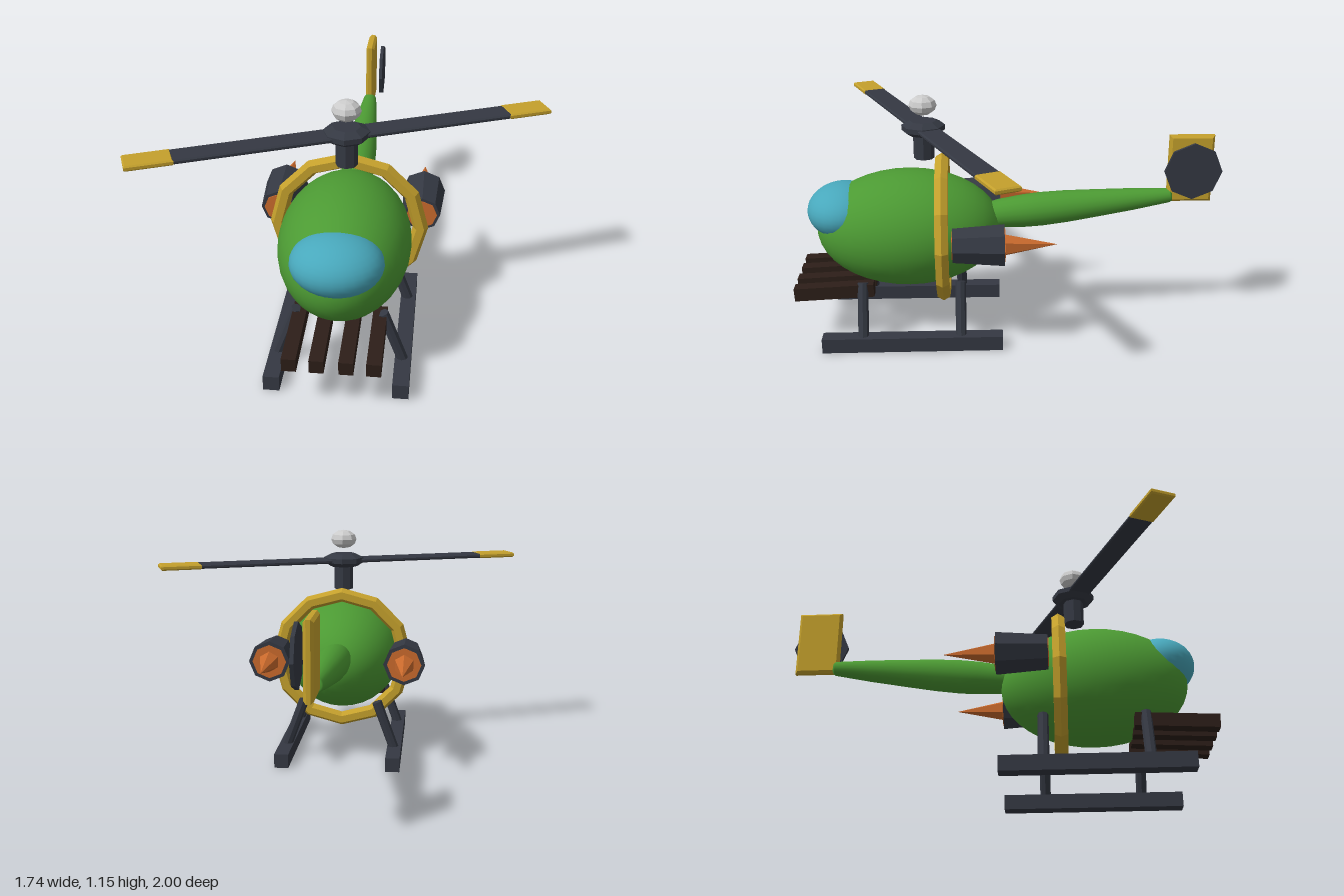
import * as THREE from 'three';

const paint = (color, flatShading = true) => new THREE.MeshStandardMaterial({ color, flatShading });
const green = paint(0x4c9a33, false);
const blue = paint(0x48a8bc, false);
const yellow = paint(0xc4a02c);
const dark = paint(0x343842);
const brown = paint(0x2c1e18);
const orange = paint(0xc8692c);
const white = paint(0xcccccc);

export function createModel() {
  const root = new THREE.Group();

  const add = (name, geometry, material, x, y, z, parent = root) => {
    const mesh = new THREE.Mesh(geometry, material);
    mesh.name = name;
    mesh.position.set(x, y, z);
    parent.add(mesh);
    return mesh;
  };

  // Slab with bevelled edges; w and h in the XY plane, t along Z
  const slab = (w, h, t, b) => {
    const s = new THREE.Shape();
    const x = w / 2 - b, y = h / 2 - b;
    s.moveTo(-x, -y).lineTo(x, -y).lineTo(x, y).lineTo(-x, y).closePath();
    return new THREE.ExtrudeGeometry(s, {
      depth: t - 2 * b, bevelEnabled: true, bevelSize: b, bevelThickness: b, bevelSegments: 1,
    }).translate(0, 0, b - t / 2);
  };

  // Egg-shaped hull and bubble window
  add('body', new THREE.SphereGeometry(1, 32, 20).rotateX(Math.PI / 2).scale(0.29, 0.277, 0.435),
    green, 0, 0.508, 0.465);
  add('window', new THREE.SphereGeometry(1, 28, 18).scale(0.195, 0.126, 0.17), blue, 0, 0.6, 0.77);

  // Faceted band around the hull
  add('bodyRing', new THREE.TorusGeometry(0.322, 0.035, 6, 12), yellow, 0, 0.507, 0.305);

  // Tapered tail boom, rising slightly to the rear
  const boomProfile = [[0, 0], [0.055, 0], [0.068, 0.06], [0.078, 0.18], [0.08, 0.26],
    [0.076, 0.38], [0.066, 0.52], [0.052, 0.7], [0.034, 0.875], [0.028, 0.885], [0, 0.885]]
    .map(([r, h]) => new THREE.Vector2(r, h));
  const boom = add('tailBoom', new THREE.LatheGeometry(boomProfile, 18), green, 0, 0.56, 0.1);
  boom.rotation.x = -Math.PI / 2 + 0.1;

  // Tail fin and side disc
  const fin = add('tailFin', slab(0.21, 0.325, 0.042, 0.012), yellow, 0, 0.783, -0.862);
  fin.rotation.y = Math.PI / 2;
  add('tailRotor', new THREE.CylinderGeometry(0.135, 0.135, 0.016, 8).rotateZ(Math.PI / 2),
    dark, 0.058, 0.785, -0.865);

  // Main rotor: mast, hub, blades with painted tips, ball on top
  const rotor = new THREE.Group();
  rotor.name = 'mainRotor';
  rotor.position.set(0, 0, 0.385);
  root.add(rotor);
  add('mast', new THREE.CylinderGeometry(0.048, 0.048, 0.13, 8), dark, 0, 0.915, 0, rotor);
  const hubProfile = [[0, 0.965], [0.07, 0.965], [0.1, 0.985], [0.1, 1.008], [0.06, 1.028], [0, 1.028]]
    .map(([r, y]) => new THREE.Vector2(r, y));
  add('hub', new THREE.LatheGeometry(hubProfile, 8), dark, 0, 0, 0, rotor);
  add('topBall', new THREE.SphereGeometry(1, 8, 6).scale(0.064, 0.046, 0.064), white, 0, 1.1, 0, rotor);

  const blades = new THREE.Group();
  blades.name = 'blades';
  blades.position.y = 0.994;
  blades.rotation.y = 0.4;
  rotor.add(blades);
  add('bladeBar', slab(1.48, 0.108, 0.02, 0.006).rotateX(Math.PI / 2), dark, 0, 0, 0, blades);
  for (const s of [1, -1]) {
    add('bladeTip', slab(0.195, 0.112, 0.024, 0.006).rotateX(Math.PI / 2), yellow, s * 0.825, 0, 0, blades);
  }

  for (const s of [1, -1]) {
    const side = s > 0 ? 'left' : 'right';

    // Engine pod, wider at the rear, with glowing core and flame spike
    const pod = new THREE.Group();
    pod.name = side + 'Engine';
    pod.position.set(s * 0.325, 0.543, 0.14);
    pod.rotation.x = -Math.PI / 2;
    root.add(pod);
    add('casing', new THREE.CylinderGeometry(0.1, 0.082, 0.23, 8), dark, 0, 0, 0, pod);
    add('core', new THREE.CylinderGeometry(0.082, 0.068, 0.238, 8), orange, 0, 0, 0, pod);
    add('flame', new THREE.ConeGeometry(0.052, 0.24, 6), orange, 0, 0.232, 0, pod);

    // Skid and its two slanted struts
    add(side + 'Skid', new THREE.BoxGeometry(0.07, 0.07, 0.84), dark, s * 0.275, 0.035, 0.45);
    const foot = new THREE.Vector3(s * 0.277, 0.05, 0);
    const top = new THREE.Vector3(s * 0.185, 0.3, 0);
    const dir = top.clone().sub(foot);
    for (const z of [0.68, 0.225]) {
      const mid = foot.clone().add(top).multiplyScalar(0.5);
      const strut = add(side + 'Strut', new THREE.CylinderGeometry(0.025, 0.025, dir.length(), 8),
        dark, mid.x, mid.y, z);
      strut.quaternion.setFromUnitVectors(new THREE.Vector3(0, 1, 0), dir.clone().normalize());
    }

    // Gun barrels under the nose
    for (const x of [0.06, 0.172]) {
      const gun = add(side + 'Gun', new THREE.BoxGeometry(0.06, 0.062, 0.37), brown, s * x, 0.257, 0.814);
      gun.rotation.x = 0.05;
    }
  }

  return root;
}
